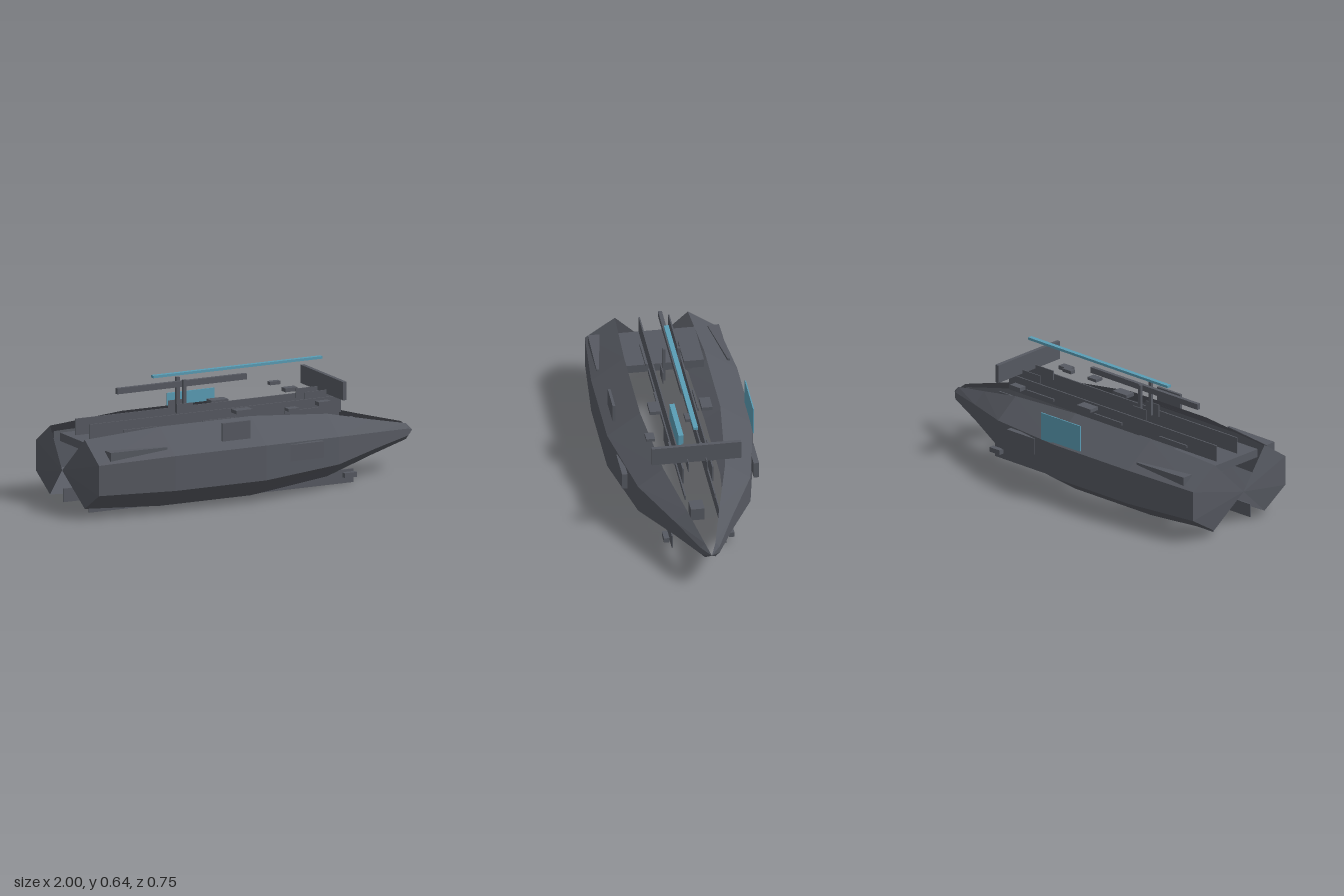
import * as THREE from 'three';

export function createModel() {
  const root = new THREE.Group();
  root.name = 'twinHullShip';
  const slate = new THREE.MeshStandardMaterial({ color: 0x565961, flatShading: true });
  const shell = new THREE.MeshStandardMaterial({ color: 0x565961, flatShading: true, side: THREE.DoubleSide });
  const blue = new THREE.MeshStandardMaterial({ color: 0x5a9db5, flatShading: true });

  const add = (name, geometry, material = slate) => {
    const mesh = new THREE.Mesh(geometry, material);
    mesh.name = name;
    root.add(mesh);
    return mesh;
  };
  // Box given by its extents on each axis
  const box = (name, [x0, x1], [y0, y1], [z0, z1], material) => {
    const mesh = add(name, new THREE.BoxGeometry(x1 - x0, y1 - y0, z1 - z0), material);
    mesh.position.set((x0 + x1) / 2, (y0 + y1) / 2, (z0 + z1) / 2);
    return mesh;
  };
  // The same box on both sides of the centre line
  const pair = (name, x, y, [z0, z1], material) => {
    box(name + 'PlusZ', x, y, [z0, z1], material);
    box(name + 'MinusZ', x, y, [-z1, -z0], material);
  };

  // Hull shells: an open four-point section lofted along x, closed to a point at each end
  const section = [[0.205, 0.22], [0.373, 0.1], [0.373, -0.08], [0.205, -0.19]];
  const stations = [ // x, width factor, height factor
    [-1, 0, 0], [-0.97, 0.91, 0.87], [-0.55, 1, 1], [-0.03, 1, 1],
    [0.43, 0.77, 0.79], [0.72, 0.4, 0.45], [0.95, 0.13, 0.2], [1, 0, 0],
  ];
  const hull = (side) => {
    const pos = [], index = [], n = section.length;
    for (const [x, w, h] of stations)
      for (const [z, y] of section) pos.push(x, 0.2 + y * h, side * z * w);
    for (let j = 0; j < stations.length - 1; j++)
      for (let i = 0; i < n - 1; i++) {
        const a = j * n + i, b = a + 1, c = b + n, d = a + n;
        const tris = [];
        if (j > 0) tris.push([a, b, d]);
        if (j < stations.length - 2) tris.push([b, c, d]);
        if (j === 0) tris.push([a, c, d]);
        for (const [p, q, r] of tris) index.push(p, ...(side > 0 ? [q, r] : [r, q]));
      }
    let g = new THREE.BufferGeometry();
    g.setAttribute('position', new THREE.Float32BufferAttribute(pos, 3));
    g.setIndex(index);
    g = g.toNonIndexed();
    g.computeVertexNormals();
    return g;
  };
  add('hullPlusZ', hull(1), shell);
  add('hullMinusZ', hull(-1), shell);

  // Tapered fins on the stern shoulders
  for (const side of [1, -1]) {
    const g = new THREE.BoxGeometry(0.32, 0.045, 0.06);
    const p = g.attributes.position;
    for (let i = 0; i < p.count; i++)
      if (p.getX(i) > 0) {
        p.setY(i, p.getY(i) > 0 ? 0.02 : 0.008);
        p.setZ(i, side * 0.03 + p.getZ(i) * 0.2);
      }
    g.computeVertexNormals();
    add('sternFin', g).position.set(-0.74, 0.323, side * 0.305);
  }

  // Stern deck, deck rails and keel plates
  box('sternDeck', [-0.9, -0.59], [0.3, 0.343], [-0.21, 0.21]);
  pair('deckRail', [-0.885, 0.55], [0.355, 0.44], [0.072, 0.079]);
  pair('lowerRail', [-0.58, 0.62], [0.3, 0.325], [0.072, 0.079]);
  pair('keelPlate', [-0.92, 0.59], [0, 0.07], [0.134, 0.14]);
  pair('keelBlock', [0.52, 0.59], [0.035, 0.06], [0.152, 0.18]);
  for (const x of [-0.605, -0.155, 0.315])
    pair('railStrip', [x - 0.095, x + 0.095], [0.383, 0.397], [0.094, 0.102]);

  // Deck fittings
  pair('deckHatch', [-0.09, 0.005], [0.425, 0.443], [0.105, 0.16]);
  pair('foreHatch', [0.36, 0.43], [0.428, 0.448], [0.16, 0.2]);
  pair('foreBracket', [0.36, 0.55], [0.42, 0.47], [0.045, 0.05]);
  box('sideHatch', [0.18, 0.24], [0.42, 0.435], [0.17, 0.215]);
  box('floatingSensor', [0.18, 0.24], [0.518, 0.535], [-0.015, 0.015]);

  // Mast with its long spars
  pair('mastPost', [-0.33, -0.312], [0.42, 0.605], [0.03, 0.045]);
  pair('mastBase', [-0.37, -0.28], [0.42, 0.485], [0.045, 0.05]);
  box('greySpar', [-0.69, 0.05], [0.562, 0.592], [-0.01, 0.01]);
  box('blueSpar', [-0.485, 0.48], [0.624, 0.637], [-0.012, 0.012], blue);

  // Forward cross wing
  box('crossWing', [0.484, 0.505], [0.45, 0.545], [-0.228, 0.228]);

  // Inner core between the hulls
  box('coreBlock', [0.46, 0.545], [0.125, 0.19], [-0.035, 0.035]);
  box('corePlate', [-0.23, 0], [0.12, 0.29], [0.051, 0.055]);
  box('coreLight', [-0.3, 0], [0.17, 0.283], [-0.013, 0.013], blue);

  // Outer hull panels
  pair('sidePod', [0.12, 0.31], [0.197, 0.282], [0.322, 0.35]);
  box('sidePanel', [-0.26, -0.1], [0.337, 0.43], [0.32, 0.334]);
  box('bluePanel', [-0.21, 0.06], [0.3, 0.445], [-0.364, -0.358], blue);

  return root;
}
